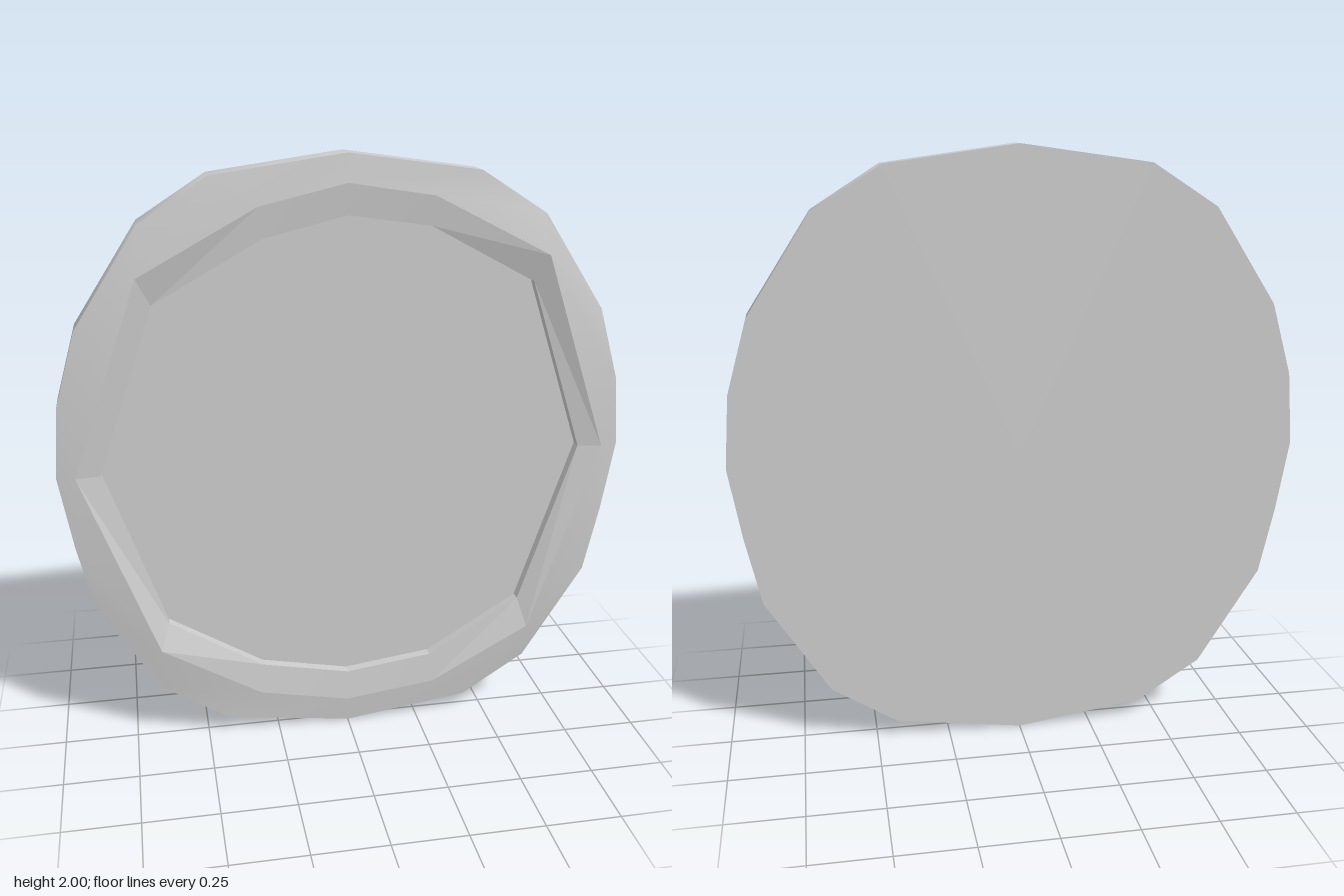
import * as THREE from 'three';
import { toCreasedNormals } from 'three/addons/utils/BufferGeometryUtils.js';

// Outlines run clockwise from the top, seen from the front.
const half = [[0, 2], [0.43, 1.94], [0.65, 1.8], [0.86, 1.48], [0.93, 1.24], [0.95, 1],
  [0.91, 0.76], [0.86, 0.53], [0.65, 0.2], [0.43, 0.06], [0, 0]];
const outline = [...half, ...half.slice(1, -1).reverse().map(([x, y]) => [-x, y])];

// Twelve-sided crest of the rim (x, y, z) and the opening inside it (x, y)
const crest = [[0, 1.91, 0.046], [0.28, 1.865, 0.046], [0.66, 1.67, 0.066], [0.89, 1, 0.05],
  [0.65, 0.33, 0.066], [0.31, 0.13, 0.046], [0, 0.09, 0.046], [-0.31, 0.15, 0.046],
  [-0.65, 0.36, 0.066], [-0.89, 1, 0.05], [-0.665, 1.64, 0.066], [-0.28, 1.845, 0.046]];
const opening = [[0, 1.81], [0.27, 1.77], [0.62, 1.58], [0.81, 1], [0.62, 0.43], [0.3, 0.235],
  [0, 0.195], [-0.3, 0.255], [-0.62, 0.45], [-0.81, 1], [-0.62, 1.55], [-0.27, 1.745]];

// Crest corner that each outline corner joins
const joins = [0, 1, 2, 2, 3, 3, 3, 4, 4, 5, 6, 7, 8, 8, 9, 9, 9, 10, 10, 11];

const atDepth = (ring, z) => ring.map(([x, y]) => [x, y, z]);

// Skin neighbouring rings in turn, leaving out collapsed triangles.
function skin(rings, crease) {
  const positions = [];
  const same = (p, q) => p.every((v, k) => v === q[k]);
  const tri = (p, q, r) => {
    if (!same(p, q) && !same(q, r) && !same(p, r)) positions.push(...p, ...q, ...r);
  };
  for (let s = 0; s < rings.length - 1; s++) {
    const a = rings[s], b = rings[s + 1];
    for (let i = 0; i < a.length; i++) {
      const j = (i + 1) % a.length;
      tri(a[i], b[i], a[j]);
      tri(a[j], b[i], b[j]);
    }
  }
  const geometry = new THREE.BufferGeometry();
  geometry.setAttribute('position', new THREE.Float32BufferAttribute(positions, 3));
  return toCreasedNormals(geometry, crease);
}

export function createModel() {
  const group = new THREE.Group();
  const material = new THREE.MeshStandardMaterial({ color: 0xcccccc });
  const add = (name, rings, crease) => {
    const mesh = new THREE.Mesh(skin(rings, crease), material);
    mesh.name = name;
    group.add(mesh);
  };

  const backEdge = atDepth(outline, -0.065);
  const frontEdge = atDepth(outline, 0.037);
  const lip = atDepth(opening, 0.035);
  const panelEdge = atDepth(opening, 0);
  const centre = (ring, z) => ring.map(() => [0, 1, z]);

  // Flat back and outer wall
  add('backPlate', [centre(backEdge, -0.065), backEdge], 0.1);
  add('outerWall', [backEdge, frontEdge], 0.5);

  // Rim: outer slope up to the crest, then inner slope down to the lip
  add('rimOuterSlope', [frontEdge, joins.map((k) => crest[k])], 0.5);
  add('rimInnerSlope', [crest, lip], 0.1);

  // Recessed panel with its short side wall
  add('recessWall', [lip, panelEdge], 0.1);
  add('recessedPanel', [panelEdge, centre(panelEdge, 0)], 0.1);

  return group;
}
